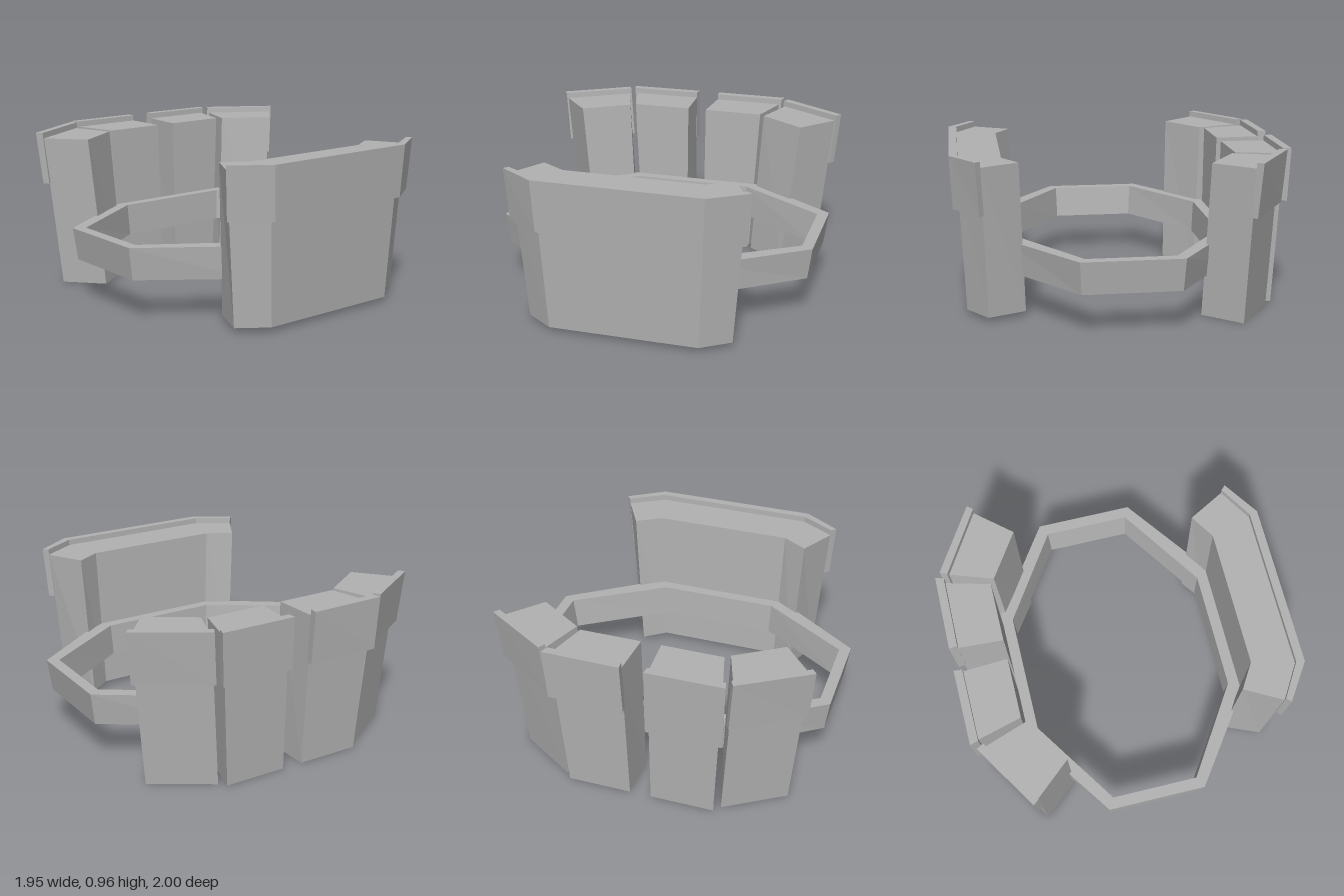
import * as THREE from 'three';

const grey = new THREE.MeshStandardMaterial({ color: 0xb2b2b2 });
grey.name = 'plain grey';

// Tapered prism between two [x, z] outlines, with an optional matching hole.
function taper(name, y0, y1, bottom, top, holeBottom, holeTop) {
  const vec = (pts) => pts.map(([x, z]) => new THREE.Vector2(x, z));
  const loops = [[vec(bottom), vec(top)]];
  if (holeBottom) loops.push([vec(holeBottom), vec(holeTop)]);
  loops.forEach((pair, i) => {
    if (THREE.ShapeUtils.isClockWise(pair[0]) !== (i > 0)) pair.forEach((p) => p.reverse());
  });
  const pos = [];
  const put = (p, y) => pos.push(p.x, y, p.y);
  // side walls
  for (const [lo, hi] of loops) {
    lo.forEach((a, i) => {
      const j = (i + 1) % lo.length;
      put(a, y0); put(hi[i], y1); put(hi[j], y1);
      put(a, y0); put(hi[j], y1); put(lo[j], y0);
    });
  }
  // bottom and top caps
  [y0, y1].forEach((y, k) => {
    const outer = loops[0][k];
    const holes = loops.slice(1).map((l) => l[k]);
    const all = [...outer, ...holes.flat()];
    for (const f of THREE.ShapeUtils.triangulateShape(outer.slice(), holes.map((h) => h.slice()))) {
      const t = f.map((i) => all[i]);
      if (THREE.ShapeUtils.isClockWise(t) !== (k === 1)) t.reverse();
      t.forEach((p) => put(p, y));
    }
  });
  const geo = new THREE.BufferGeometry();
  geo.setAttribute('position', new THREE.Float32BufferAttribute(pos, 3));
  geo.computeVertexNormals();
  const mesh = new THREE.Mesh(geo, grey);
  mesh.name = name;
  return mesh;
}

const flip = (pts) => pts.map(([x, z]) => [-x, z]);
// Completes a left half outline across x = 0.
const whole = (half) => [...half, ...flip(half).reverse()];

export function createModel() {
  const model = new THREE.Group();
  model.name = 'pouchBelt';

  // Eight-sided belt band, leaning outward
  model.add(taper('beltBand', 0.25, 0.445,
    whole([[0.41, 0.69], [0.947, 0.295], [0.947, -0.28], [0.41, -0.655]]),
    whole([[0.42, 0.70], [0.973, 0.305], [0.973, -0.29], [0.42, -0.665]]),
    whole([[0.36, 0.61], [0.88, 0.265], [0.88, -0.24], [0.36, -0.59]]),
    whole([[0.37, 0.62], [0.905, 0.27], [0.905, -0.25], [0.37, -0.60]])));

  // Wide front pouch with wrapped ends
  const front = new THREE.Group();
  front.name = 'frontPouch';
  front.add(taper('frontPouchBody', 0.03, 0.93,
    whole([[0.45, 0.92], [0.62, 0.80], [0.525, 0.578], [0.39, 0.675]]),
    whole([[0.495, 0.96], [0.69, 0.825], [0.57, 0.608], [0.42, 0.70]])));
  front.add(taper('frontPouchFlap', 0.65, 0.965,
    whole([[0.485, 0.985], [0.70, 0.838], [0.672, 0.813], [0.475, 0.94]]),
    whole([[0.50, 1.0], [0.72, 0.855], [0.693, 0.828], [0.49, 0.95]])));
  model.add(front);

  // Four rear pouches: a straight and an angled one on each side
  for (const side of ['left', 'right']) {
    const s = side === 'left' ? (p) => p : flip;
    const rear = new THREE.Group();
    rear.name = side + 'RearPouch';
    rear.add(taper('rearPouchBody', 0, 0.93,
      s([[0.058, -0.66], [0.38, -0.66], [0.45, -0.92], [0.065, -0.92]]),
      s([[0.06, -0.68], [0.43, -0.68], [0.505, -0.958], [0.075, -0.958]])));
    rear.add(taper('rearPouchFlap', 0.645, 0.965,
      s([[0.068, -0.94], [0.505, -0.93], [0.518, -0.982], [0.064, -0.984]]),
      s([[0.075, -0.95], [0.518, -0.945], [0.532, -0.995], [0.07, -1.0]])));
    model.add(rear);

    const corner = new THREE.Group();
    corner.name = side + 'CornerPouch';
    corner.add(taper('cornerPouchBody', 0, 0.93,
      s([[0.405, -0.615], [0.645, -0.448], [0.83, -0.66], [0.485, -0.88]]),
      s([[0.46, -0.655], [0.735, -0.475], [0.92, -0.688], [0.552, -0.918]])));
    corner.add(taper('cornerPouchFlap', 0.645, 0.965,
      s([[0.515, -0.905], [0.903, -0.668], [0.927, -0.698], [0.537, -0.942]]),
      s([[0.54, -0.92], [0.93, -0.684], [0.957, -0.718], [0.562, -0.962]])));
    model.add(corner);
  }
  return model;
}
